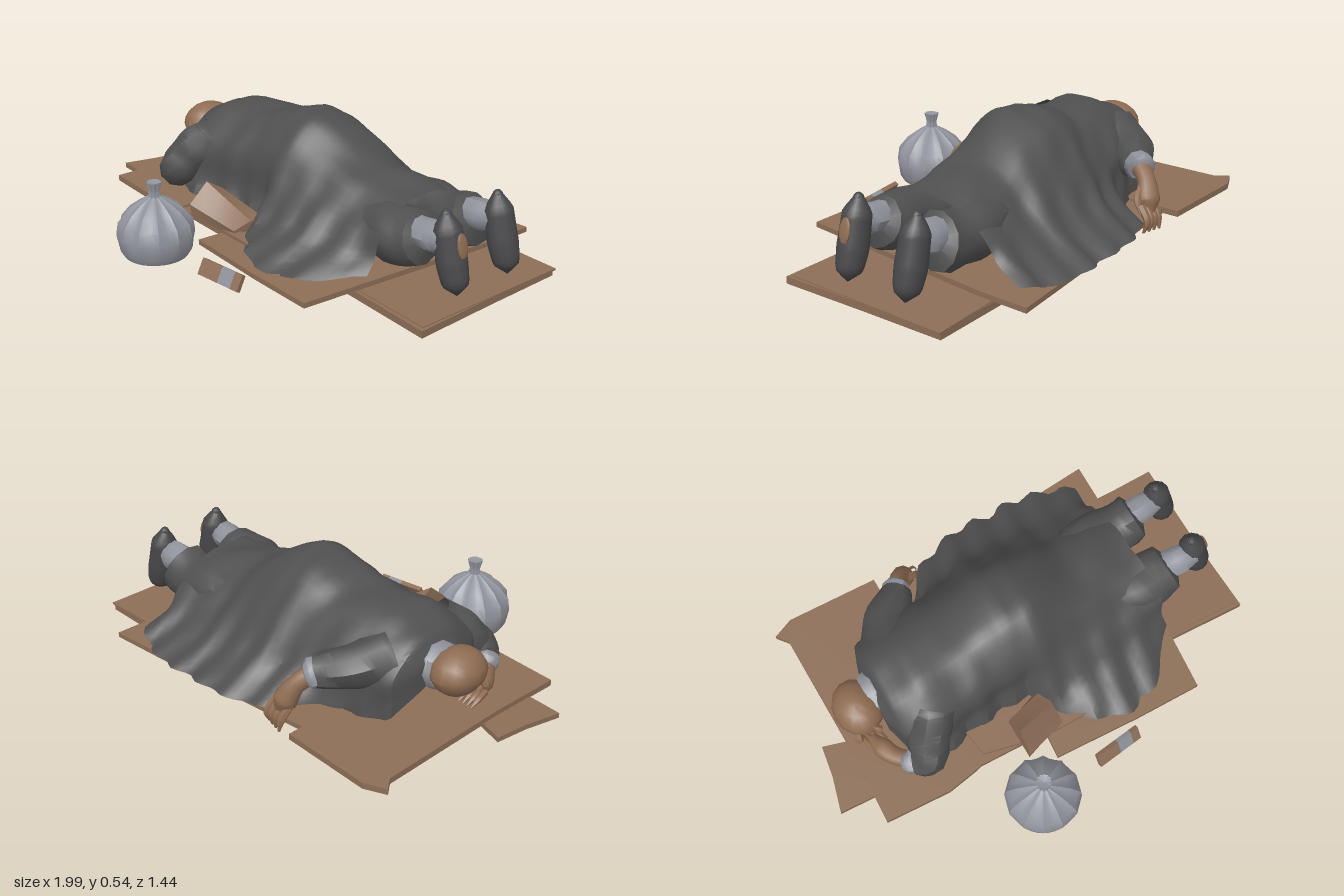
import * as THREE from 'three';
import { toCreasedNormals } from 'three/addons/utils/BufferGeometryUtils.js';

const V = (p) => new THREE.Vector3(...p);
const mat = (name, color, side = THREE.FrontSide) => {
  const m = new THREE.MeshStandardMaterial({ color, side });
  m.name = name;
  return m;
};
// smooth repeatable crumple
const crumple = (x, y, z) =>
  Math.sin(x * 23 + z * 9) * 0.5 + Math.sin(z * 31 - y * 17 + x * 5) * 0.3 + Math.sin(y * 41 + x * 37) * 0.2;

export function createModel() {
  const group = new THREE.Group();
  const cloth = mat('charcoal cloth', 0x505050, THREE.DoubleSide);
  const leather = mat('dark boot', 0x48484a);
  const card = mat('cardboard', 0x8c6e57, THREE.DoubleSide);
  const skin = mat('skin', 0x8e6c52);
  const lining = mat('pale grey cloth', 0x8f919a);
  const plastic = mat('grey plastic', 0x92949d);

  const add = (name, geo, material, crease = 0.6) => {
    const mesh = new THREE.Mesh(crease ? toCreasedNormals(geo, crease) : geo, material);
    mesh.name = name;
    group.add(mesh);
    return mesh;
  };

  // tapered tube through points, one radius per point
  const limb = (name, pts, radii, material, rough = 0, sides = 10) => {
    const curve = new THREE.CatmullRomCurve3(pts.map(V));
    const n = (pts.length - 1) * 4;
    const geo = new THREE.TubeGeometry(curve, n, 1, sides);
    const pos = geo.attributes.position;
    const v = new THREE.Vector3();
    for (let i = 0; i <= n; i++) {
      const c = curve.getPointAt(i / n);
      const t = curve.getUtoTmapping(i / n) * (radii.length - 1);
      const k = Math.min(Math.floor(t), radii.length - 2);
      const r = THREE.MathUtils.lerp(radii[k], radii[k + 1], t - k);
      for (let j = 0; j <= sides; j++) {
        const id = i * (sides + 1) + j;
        v.fromBufferAttribute(pos, id).sub(c);
        v.multiplyScalar(r * (1 + rough * crumple(c.x + v.x * 0.1, c.y + v.y * 0.1, c.z + v.z * 0.1))).add(c);
        pos.setXYZ(id, v.x, v.y, v.z);
      }
    }
    return add(name, geo, material, 0.7);
  };

  // cardboard sheet from an x/z outline, sloping along x
  const sheet = (name, outline, y0, slope, thick) => {
    const shape = new THREE.Shape(outline.map(([x, z]) => new THREE.Vector2(x, -z)));
    const geo = new THREE.ExtrudeGeometry(shape, { depth: thick, bevelEnabled: false });
    geo.rotateX(-Math.PI / 2);
    const p = geo.attributes.position;
    for (let i = 0; i < p.count; i++) p.setY(i, p.getY(i) + y0 + slope * p.getX(i));
    return add(name, geo, card, 0.4);
  };
  sheet('footSheet', [[-0.45, -0.53], [0.5, -0.55], [0.97, -0.545], [0.975, -0.18], [0.985, 0.22], [0.6, 0.205], [-0.45, 0.2]], 0.04, -0.028, 0.03);
  sheet('footSheetTop', [[0.5, -0.54], [0.98, -0.55], [0.97, 0.2], [0.5, 0.19]], 0.066, -0.028, 0.008);
  sheet('middleSheet', [[-0.42, -0.6], [0.15, -0.66], [0.695, -0.71], [0.69, -0.5], [0.6, 0.455], [0.3, 0.45], [-0.09, 0.43], [-0.08, 0.31], [-0.42, 0.3]], 0.068, -0.012, 0.022);
  sheet('headSheet', [[-0.85, -0.6], [-0.89, -0.65], [-0.8, -0.69], [-0.39, -0.68], [-0.385, 0.3], [-0.42, 0.31], [-0.56, 0.335], [-0.85, 0.32], [-0.84, 0]], 0.072, -0.016, 0.026);
  sheet('cornerFlap', [[-0.94, -0.11], [-0.74, -0.05], [-0.7, 0.2], [-1, 0.185], [-0.96, 0.03]], 0.055, -0.015, 0.022);
  sheet('frontStrip', [[-0.38, 0.15], [-0.06, 0.17], [-0.04, 0.26], [0.12, 0.33], [-0.1, 0.33], [-0.36, 0.27]], 0.1, -0.03, 0.015);

  // folded cardboard standing beside the body
  const fold = new THREE.Shape([[0.38, 0.13], [0.39, 0.2], [0.3, 0.28], [0.22, 0.23], [0.2, 0.12]].map(([z, y]) => new THREE.Vector2(z, y)));
  const foldGeo = new THREE.ExtrudeGeometry(fold, { depth: 0.17, bevelEnabled: false, steps: 3 });
  foldGeo.rotateY(-Math.PI / 2);
  const fp = foldGeo.attributes.position;
  for (let i = 0; i < fp.count; i++) {
    const z = fp.getX(i), x = fp.getZ(i);
    const s = -fp.getX(i) / 0.17;
    // after turning, x is minus the depth and z is the outline's first axis
    fp.setXYZ(i, -0.2 + 0.2 * s, 0.1 + (fp.getY(i) - 0.1) * (1 - 0.75 * s), x - 0.09 * s - z * 0.1);
  }
  add('foldedCardboard', foldGeo, card, 0.3);

  // coat: x, back hem, back side, ridge, front side, front hem, top, base
  const sections = [
    [-0.66, -0.24, -0.25, -0.13, 0.0, 0.02, 0.37, 0.22],
    [-0.62, -0.37, -0.37, -0.13, 0.1, 0.12, 0.43, 0.13],
    [-0.5, -0.41, -0.4, -0.13, 0.14, 0.19, 0.48, 0.11],
    [-0.32, -0.45, -0.41, -0.13, 0.11, 0.15, 0.49, 0.1],
    [-0.2, -0.62, -0.41, -0.13, 0.09, 0.13, 0.5, 0.1],
    [-0.06, -0.69, -0.42, -0.13, 0.09, 0.14, 0.55, 0.1],
    [0.05, -0.7, -0.42, -0.13, 0.09, 0.31, 0.555, 0.1],
    [0.2, -0.71, -0.42, -0.15, 0.08, 0.4, 0.475, 0.095],
    [0.33, -0.71, -0.42, -0.16, 0.09, 0.42, 0.4, 0.09],
    [0.5, -0.7, -0.43, -0.17, 0.08, 0.32, 0.375, 0.09],
    [0.61, -0.61, -0.45, -0.17, 0.08, 0.14, 0.36, 0.1],
  ];
  const rail = new Array(8).fill(0).map((_, k) => sections.map((s) => s[k]));
  const rows = 44, cols = 36, verts = [], index = [];
  const lerp = THREE.MathUtils.lerp;
  for (let i = 0; i <= rows; i++) {
    const t = (i / rows) * (sections.length - 1);
    const k = Math.min(Math.floor(t), sections.length - 2);
    const [x, gb, cb, mid, cf, gf, top, base] = rail.map((r) => lerp(r[k], r[k + 1], t - k));
    const h = top - base;
    const P = (z, f) => new THREE.Vector3(x, base + h * f, z);
    const curve = new THREE.CatmullRomCurve3([
      P(gb, 0), P(lerp(gb, cb, 0.6), 0.24), P(cb, 0.56), P(lerp(cb, mid, 0.45), 0.9), P(mid, 1),
      P(lerp(cf, mid, 0.45), 0.9), P(cf, 0.6), P(lerp(gf, cf, 0.6), 0.24), P(gf, 0)]);
    for (let j = 0; j <= cols; j++) {
      const p = curve.getPoint(j / cols);
      const low = 1 - (p.y - base) / h;
      const d = 0.012 * crumple(p.x, p.y, p.z) + 0.014 * low * Math.sin(p.x * 42 + p.z * 6);
      const side = p.z < mid ? -1 : 1;
      verts.push(p.x + (i === rows ? d : 0), p.y + d * (1 - low * 0.6), p.z + side * d * low);
    }
  }
  for (let i = 0; i < rows; i++) for (let j = 0; j < cols; j++) {
    const a = i * (cols + 1) + j, b = a + cols + 1;
    index.push(a, b, a + 1, b, b + 1, a + 1);
  }
  // close the shoulder end
  verts.push(-0.66, 0.28, -0.12);
  for (let j = 0; j < cols; j++) index.push(j, j + 1, verts.length / 3 - 1);
  const coat = new THREE.BufferGeometry();
  coat.setAttribute('position', new THREE.Float32BufferAttribute(verts, 3));
  coat.setIndex(index);
  add('coat', coat, cloth, 0.55);

  // head, turned down, with neck, ear and nose
  const headGeo = new THREE.SphereGeometry(1, 14, 10);
  const hp = headGeo.attributes.position;
  for (let i = 0; i < hp.count; i++) {
    const x = hp.getX(i), y = hp.getY(i), z = hp.getZ(i);
    const jaw = y < 0 ? 1 + 0.15 * y : 1;
    hp.setXYZ(i, x * 0.105 * jaw, y * 0.098, z * 0.125 * jaw);
  }
  add('head', headGeo, skin, 0.7).position.set(-0.735, 0.3, -0.12);
  limb('nose', [[-0.78, 0.25, -0.04], [-0.79, 0.22, -0.02], [-0.78, 0.2, -0.03]], [0.01, 0.022, 0], skin, 0, 6);
  limb('ear', [[-0.72, 0.34, -0.0], [-0.7, 0.31, 0.01], [-0.71, 0.28, 0]], [0, 0.02, 0], skin, 0, 6);
  limb('neck', [[-0.74, 0.29, -0.13], [-0.65, 0.3, -0.13], [-0.58, 0.3, -0.13]], [0.07, 0.08, 0.09], skin);
  limb('collar', [[-0.685, 0.3, -0.14], [-0.65, 0.3, -0.14], [-0.6, 0.3, -0.14]], [0.085, 0.1, 0.11], lining, 0.1);

  // front arm, bent under the face
  limb('frontSleeve', [[-0.46, 0.34, 0.04], [-0.53, 0.27, 0.12], [-0.58, 0.2, 0.175], [-0.63, 0.18, 0.16], [-0.64, 0.18, 0.15]], [0.1, 0.1, 0.085, 0.062, 0], cloth, 0.12);
  limb('frontCuff', [[-0.6, 0.18, 0.18], [-0.65, 0.175, 0.15], [-0.665, 0.17, 0.13]], [0.055, 0.058, 0.03], lining, 0.15);
  limb('frontForearm', [[-0.63, 0.17, 0.16], [-0.69, 0.16, 0.1], [-0.72, 0.16, 0.04], [-0.74, 0.16, -0.02]], [0.035, 0.038, 0.045, 0.02], skin);
  for (let i = 0; i < 4; i++) {
    const s = i * 0.022;
    limb('frontFinger', [[-0.69 - s, 0.15, 0.02], [-0.7 - s, 0.14, -0.03], [-0.7 - s, 0.12, -0.07]], [0.016, 0.014, 0.004], skin, 0, 6);
  }

  // back arm, stretched over the sheet's edge
  limb('backSleeve', [[-0.52, 0.34, -0.27], [-0.45, 0.31, -0.4], [-0.38, 0.29, -0.47], [-0.345, 0.285, -0.51]], [0.11, 0.09, 0.078, 0.066], cloth, 0.12);
  limb('backCuff', [[-0.37, 0.29, -0.48], [-0.34, 0.28, -0.53], [-0.33, 0.275, -0.54]], [0.06, 0.062, 0.03], lining, 0.12);
  limb('backHand', [[-0.34, 0.28, -0.52], [-0.31, 0.24, -0.57], [-0.28, 0.17, -0.6], [-0.265, 0.12, -0.62]], [0.04, 0.038, 0.052, 0.02], skin);
  for (let i = 0; i < 4; i++) {
    const x = -0.31 + i * 0.028;
    limb('backFinger', [[x, 0.16, -0.6], [x + 0.01, 0.1, -0.64], [x + 0.015, 0.05, -0.65 + i * 0.008]], [0.018, 0.016, 0.005], skin, 0, 6);
  }
  limb('backThumb', [[-0.28, 0.22, -0.57], [-0.23, 0.18, -0.58], [-0.21, 0.13, -0.61]], [0.02, 0.017, 0.005], skin, 0, 6);

  // legs, socks and boots with toes down
  for (const z of [-0.03, -0.32]) {
    limb('trouserLeg', [[0.2, 0.24, z * 0.8 - 0.03], [0.5, 0.23, z], [0.66, 0.23, z], [0.74, 0.25, z], [0.76, 0.26, z]], [0.1, 0.11, 0.115, 0.105, 0.03], cloth, 0.14, 12);
    limb('sock', [[0.68, 0.27, z], [0.78, 0.28, z], [0.85, 0.29, z]], [0.06, 0.066, 0.05], lining, 0.1);
    limb('boot', [[0.838, 0.388, z - 0.01], [0.85, 0.33, z - 0.01], [0.88, 0.2, z - 0.01], [0.905, 0.115, z - 0.01], [0.915, 0.07, z - 0.01]], [0.02, 0.058, 0.064, 0.054, 0], leather, 0, 12);
    add('bootHeelCap', new THREE.SphereGeometry(0.021, 8, 6), leather).position.set(0.84, 0.385, z - 0.01);
  }
  const hole = add('soleHole', new THREE.SphereGeometry(1, 10, 6), skin);
  hole.scale.set(0.008, 0.052, 0.027);
  hole.position.set(0.924, 0.28, -0.045);
  hole.rotation.z = 0.22;

  // tied plastic bag, pleated toward the neck
  const profile = [[0, 0.02], [0.135, 0.02], [0.15, 0.045], [0.16, 0.11], [0.147, 0.165], [0.105, 0.215], [0.06, 0.25], [0.024, 0.272], [0.02, 0.295], [0.03, 0.335], [0, 0.325]];
  const bag = new THREE.LatheGeometry(profile.map(([r, y]) => new THREE.Vector2(r, y)), 36);
  const bp = bag.attributes.position;
  for (let i = 0; i < bp.count; i++) {
    const x = bp.getX(i), y = bp.getY(i), z = bp.getZ(i);
    const pleat = THREE.MathUtils.clamp((y - 0.08) / 0.17, 0, 1) * 0.11;
    const s = 1 + pleat * Math.cos(12 * Math.atan2(z, x));
    bp.setXYZ(i, x * s, y, z * s);
  }
  add('plasticBag', bag, plastic, 0.6).position.set(-0.23, 0, 0.545);

  // flattened carton scrap with a pale band
  const scrap = new THREE.Group();
  scrap.name = 'cartonScrap';
  for (const [x, w, m] of [[-0.055, 0.11, card], [0.035, 0.07, lining], [0.09, 0.04, card]]) {
    const piece = new THREE.Mesh(new THREE.BoxGeometry(w, 0.07, 0.02), m);
    piece.name = m === card ? 'scrapCard' : 'scrapBand';
    piece.position.x = x;
    scrap.add(piece);
  }
  scrap.position.set(0.165, 0.052, 0.51);
  scrap.rotation.set(-0.5, 0.12, 0.04);
  group.add(scrap);
  return group;
}
